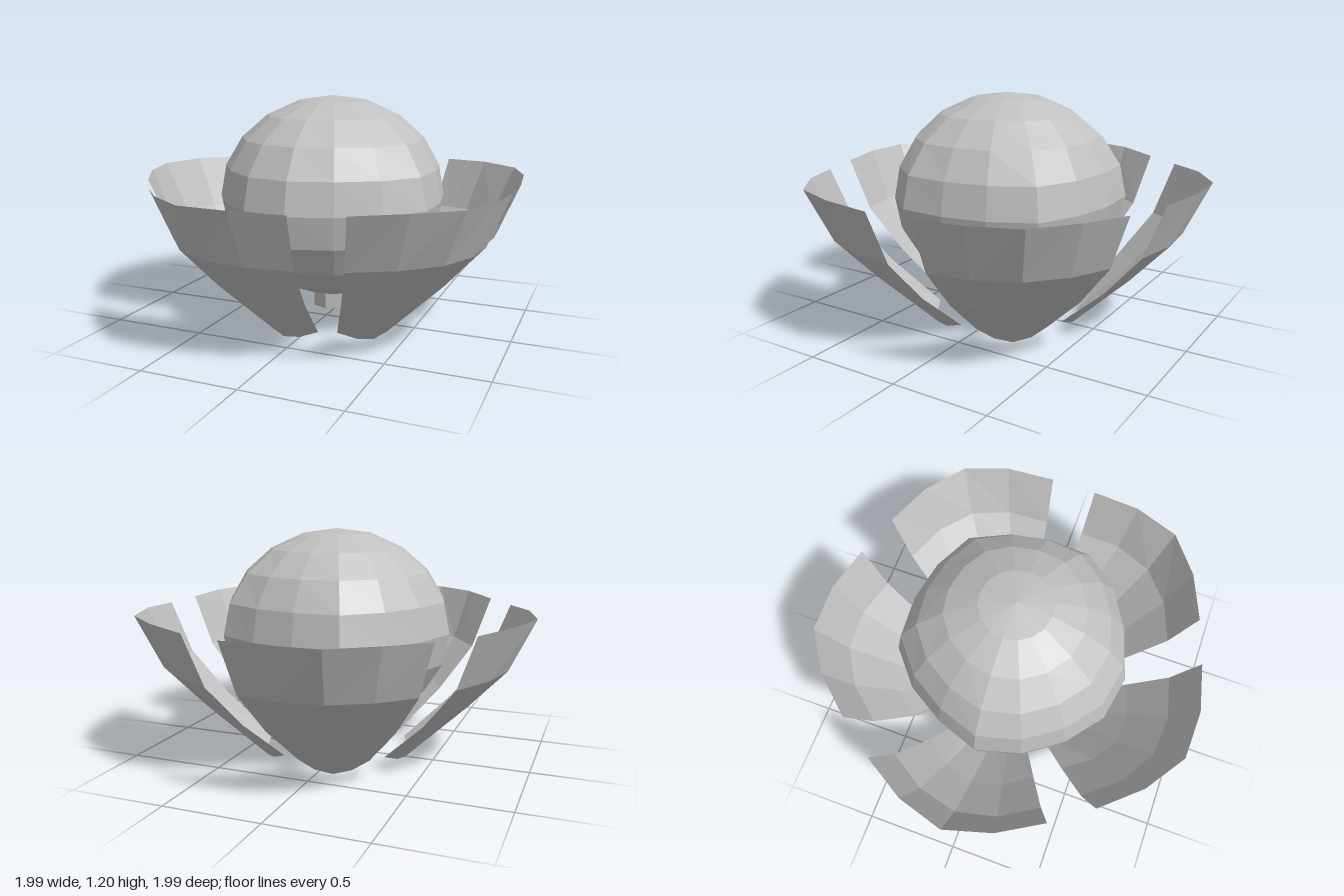
import * as THREE from 'three';

const CENTER_X = 0.04;
const PETALS = 5;

// Petal grid: rows run from foot to rim, columns from the middle out to the edge as [radius, height]
const PETAL_ROWS = [
  [[0.39, 0.0], [0.385, 0.015], [0.376, 0.05]],
  [[0.71, 0.305], [0.685, 0.298], [0.638, 0.275]],
  [[0.91, 0.515], [0.885, 0.512], [0.843, 0.503]],
  [[1.04, 0.785], [1.0, 0.785], [0.958, 0.775]],
];
const PETAL_ANGLES = [0, 13.9, 28.7];

// Slightly uneven radius of the core around its equator, from +x towards +z
const CORE_RADII = [0.58, 0.615, 0.587, 0.573, 0.6, 0.605, 0.587, 0.592,
  0.61, 0.575, 0.587, 0.615, 0.58, 0.583, 0.62, 0.583];

function petalGeometry() {
  const positions = [];
  const index = [];
  for (const row of PETAL_ROWS) {
    for (let c = -2; c <= 2; c++) {
      const [r, y] = row[Math.abs(c)];
      const a = THREE.MathUtils.degToRad(Math.sign(c) * PETAL_ANGLES[Math.abs(c)]);
      positions.push(r * Math.cos(a), y, r * Math.sin(a));
    }
  }
  for (let r = 0; r < PETAL_ROWS.length - 1; r++) {
    for (let c = 0; c < 4; c++) {
      const a = r * 5 + c;
      index.push(a, a + 5, a + 1, a + 1, a + 5, a + 6);
    }
  }
  const geometry = new THREE.BufferGeometry();
  geometry.setAttribute('position', new THREE.Float32BufferAttribute(positions, 3));
  geometry.setIndex(index);
  geometry.computeVertexNormals();
  return geometry;
}

function coreGeometry() {
  const geometry = new THREE.SphereGeometry(1, 16, 10);
  const p = geometry.attributes.position;
  for (let i = 0; i < p.count; i++) {
    const x = p.getX(i), z = p.getZ(i);
    const k = (Math.round(Math.atan2(z, x) / (Math.PI / 8)) + 16) % 16;
    // Unevenness fades out towards the poles
    const radius = THREE.MathUtils.lerp(0.58, CORE_RADII[k], x * x + z * z);
    p.setXYZ(i, x * radius, p.getY(i) * 0.52, z * radius);
  }
  geometry.computeVertexNormals();
  return geometry;
}

export function createModel() {
  const grey = new THREE.MeshStandardMaterial({ color: 0xc0c0c0, flatShading: true, side: THREE.DoubleSide });
  grey.name = 'grey';

  const model = new THREE.Group();
  model.name = 'openFlower';
  const add = (name, geometry, y = 0) => {
    const mesh = new THREE.Mesh(geometry, grey);
    mesh.name = name;
    mesh.position.set(CENTER_X, y, 0);
    model.add(mesh);
    return mesh;
  };

  // Faceted round core
  add('core', coreGeometry(), 0.68);

  // Short stem under the core
  add('stem', new THREE.CylinderGeometry(0.11, 0.11, 0.14, 8), 0.15);

  // Ring of curved petals, one pointing to -x
  const petal = petalGeometry();
  for (let i = 0; i < PETALS; i++) {
    add('petal' + (i + 1), petal).rotation.y = Math.PI + (i * Math.PI * 2) / PETALS;
  }
  return model;
}
